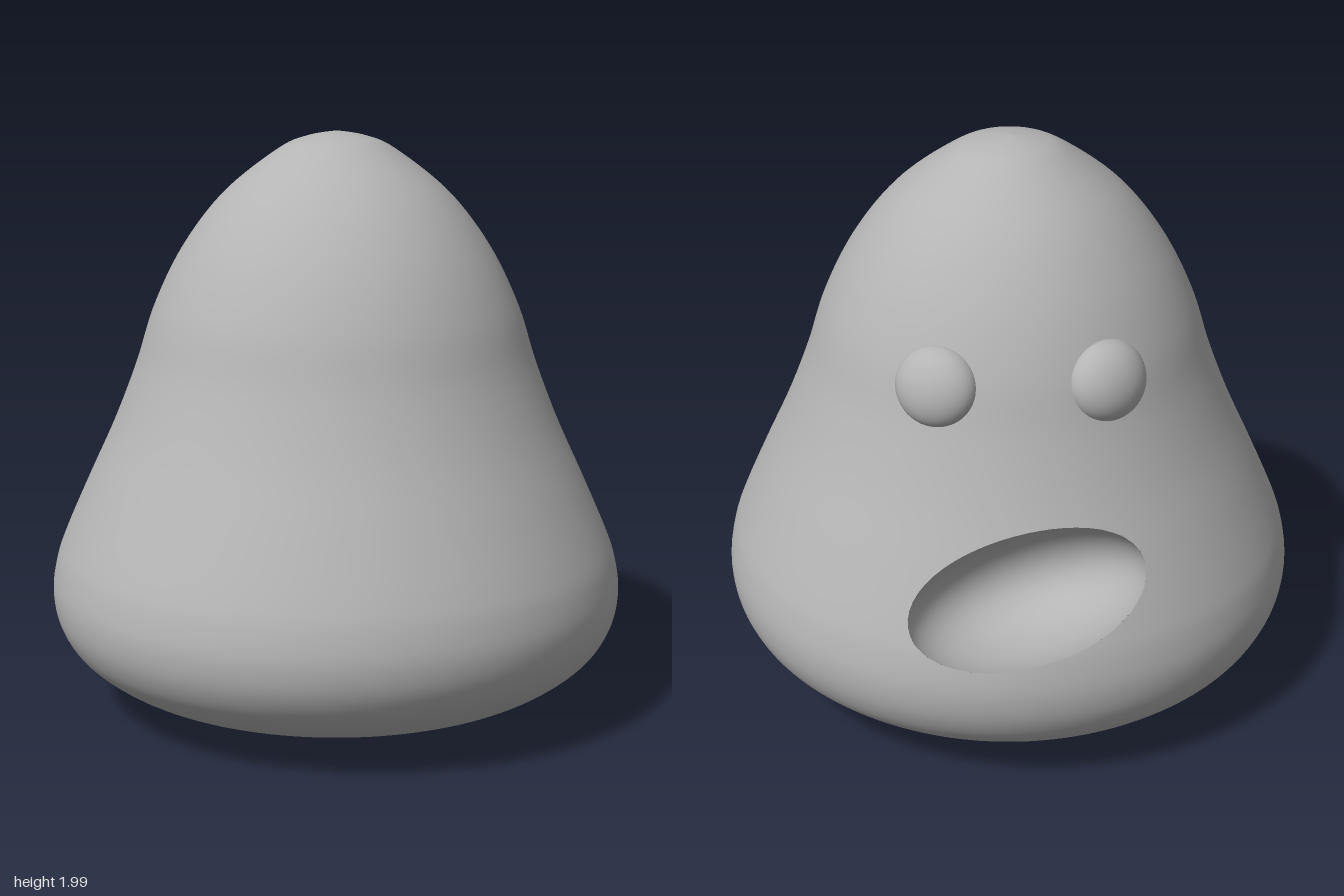
import * as THREE from 'three';
import { mergeVertices } from 'three/addons/utils/BufferGeometryUtils.js';

// Half profile of the bell-shaped body (radius, height)
const profile = new THREE.SplineCurve([
  [0, 0], [0.3, 0.015], [0.57, 0.05], [0.76, 0.105], [0.9, 0.2], [0.968, 0.3], [0.99, 0.41],
  [0.975, 0.52], [0.94, 0.62], [0.86, 0.8], [0.768, 1.0], [0.69, 1.2], [0.625, 1.4],
  [0.525, 1.6], [0.385, 1.78], [0.2, 1.925], [0.1, 1.968], [0, 1.985],
].map(([r, y]) => new THREE.Vector2(r, y))).getPoints(110);
profile.forEach((p) => { p.x = Math.max(0, p.x); });

// The body leans slightly to the back where it is narrow
const lean = (r) => -0.07 * (1 - r / 0.99);

function radiusAt(y) {
  for (let i = 1; i < profile.length; i++) {
    const a = profile[i - 1], b = profile[i];
    if (y <= b.y && y >= a.y) return a.x + (b.x - a.x) * (y - a.y) / (b.y - a.y || 1);
  }
  return 0;
}

// Signed field of the body: negative inside
function bodyField(p) {
  const r = radiusAt(p.y);
  return Math.hypot(p.x, p.z - lean(r)) - r;
}

// Keeps the part of a geometry where field(position) > 0, cutting triangles cleanly
function clip(source, field) {
  const g = source.index ? source.toNonIndexed() : source;
  const pos = g.attributes.position, nor = g.attributes.normal;
  const outP = [], outN = [];
  for (let i = 0; i < pos.count; i += 3) {
    const corners = [0, 1, 2].map((k) => {
      const p = new THREE.Vector3().fromBufferAttribute(pos, i + k);
      return { p, n: new THREE.Vector3().fromBufferAttribute(nor, i + k), f: field(p) };
    });
    const poly = [];
    corners.forEach((a, k) => {
      const b = corners[(k + 1) % 3];
      if (a.f > 0) poly.push(a);
      if ((a.f > 0) !== (b.f > 0)) {
        const t = a.f / (a.f - b.f);
        poly.push({ p: a.p.clone().lerp(b.p, t), n: a.n.clone().lerp(b.n, t).normalize() });
      }
    });
    for (let k = 2; k < poly.length; k++) {
      for (const v of [poly[0], poly[k - 1], poly[k]]) {
        outP.push(v.p.x, v.p.y, v.p.z);
        outN.push(v.n.x, v.n.y, v.n.z);
      }
    }
  }
  const out = new THREE.BufferGeometry();
  out.setAttribute('position', new THREE.Float32BufferAttribute(outP, 3));
  out.setAttribute('normal', new THREE.Float32BufferAttribute(outN, 3));
  return out;
}

function bodyGeometry() {
  let g = new THREE.LatheGeometry(profile, 128);
  const pos = g.attributes.position;
  for (let i = 0; i < pos.count; i++) {
    pos.setZ(i, pos.getZ(i) + lean(Math.hypot(pos.getX(i), pos.getZ(i))));
  }
  g.deleteAttribute('uv');
  g.deleteAttribute('normal');
  g = mergeVertices(g, 1e-5);
  g.computeVertexNormals();
  return g;
}

export function createModel() {
  const model = new THREE.Group();
  const grey = new THREE.MeshStandardMaterial({ color: 0xb4b4b4 });
  grey.name = 'plain grey';
  const add = (name, geometry) => {
    const mesh = new THREE.Mesh(geometry, grey);
    mesh.name = name;
    model.add(mesh);
    return mesh;
  };

  // Tilted ellipsoid that hollows out the mouth
  const mouth = new THREE.Matrix4().makeTranslation(0, 0.725, -0.885)
    .multiply(new THREE.Matrix4().makeRotationX(0.41))
    .multiply(new THREE.Matrix4().makeRotationZ(-0.25))
    .multiply(new THREE.Matrix4().makeScale(0.4, 0.212, 0.36));
  const inverse = mouth.clone().invert();
  const mouthField = (p) => p.clone().applyMatrix4(inverse).length() - 1;

  // Body with the mouth opening cut out
  add('body', clip(bodyGeometry(), mouthField));

  // Inner wall of the mouth: the ellipsoid turned inside out, kept within the body
  const hollow = new THREE.SphereGeometry(1, 64, 48).applyMatrix4(mouth).toNonIndexed();
  const { position, normal } = hollow.attributes;
  const a = new THREE.Vector3(), b = new THREE.Vector3();
  for (const attribute of [position, normal]) {
    for (let i = 0; i < attribute.count; i += 3) {
      a.fromBufferAttribute(attribute, i + 1);
      b.fromBufferAttribute(attribute, i + 2);
      attribute.setXYZ(i + 1, b.x, b.y, b.z);
      attribute.setXYZ(i + 2, a.x, a.y, a.z);
    }
  }
  normal.array.forEach((v, i, array) => { array[i] = -v; });
  add('mouthHollow', clip(hollow, (p) => -bodyField(p)));

  // Flattened eyes set into the sloping face
  for (const side of [-1, 1]) {
    const eye = add(side > 0 ? 'leftEye' : 'rightEye', new THREE.SphereGeometry(1, 40, 28));
    eye.scale.set(0.137, 0.132, 0.09);
    eye.position.set(side * 0.27, 1.345, -0.585);
    eye.lookAt(side * (0.27 + 0.45), 1.345 + 0.27, -0.585 - 0.86);
  }
  return model;
}
